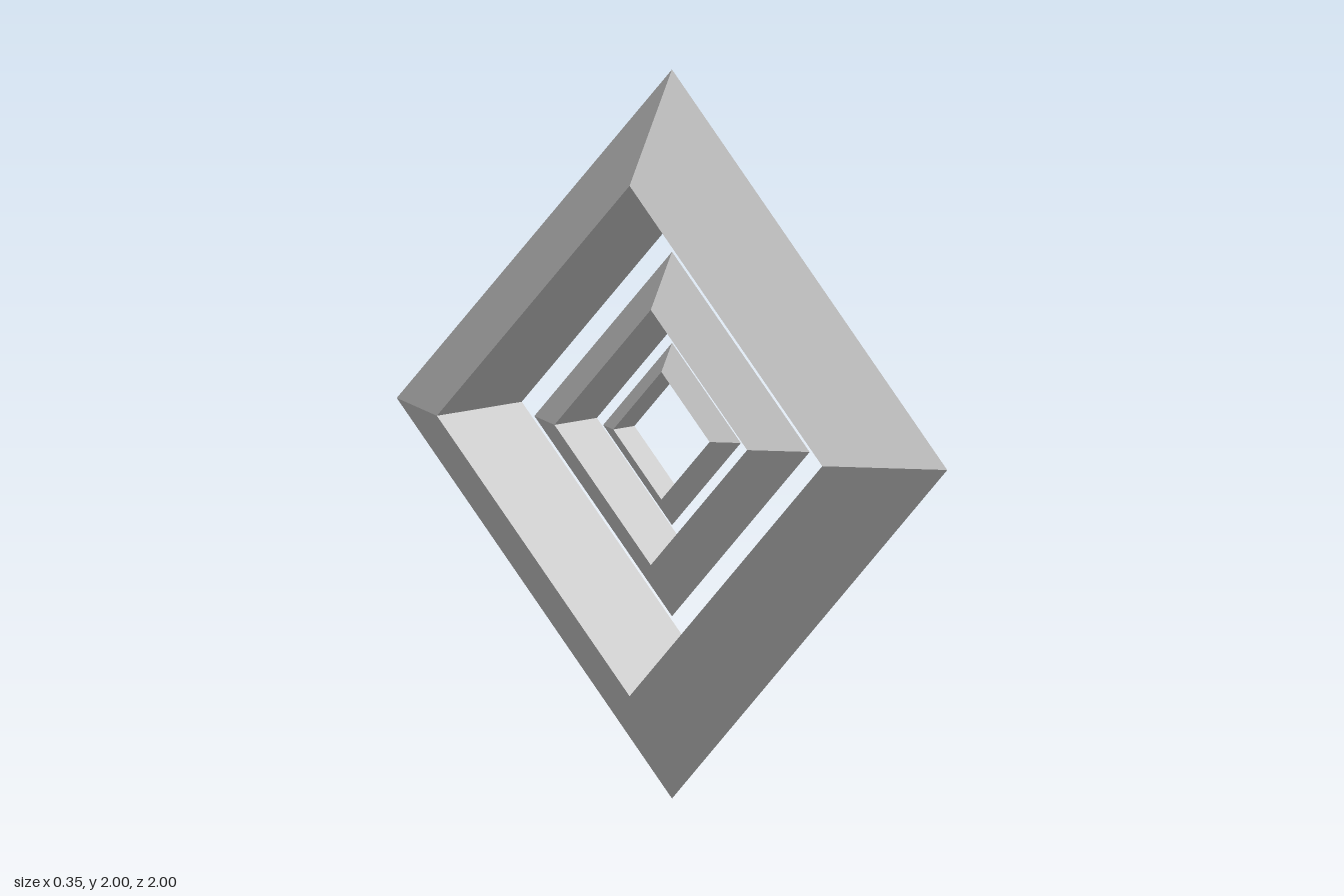
import * as THREE from 'three';

// Nested diamond rings, each a four-sided torus with a triangular section
export function createModel() {
  const model = new THREE.Group();
  const material = new THREE.MeshStandardMaterial({ color: 0xcccccc, flatShading: true });
  const names = ['outerRing', 'middleRing', 'innerRing'];

  names.forEach((name, i) => {
    const size = 0.5 ** i; // each ring is half the one around it
    const geometry = new THREE.TorusGeometry(0.8 * size, 0.2 * size, 3, 4);
    geometry.rotateY(Math.PI / 2); // ring axis along x
    const ring = new THREE.Mesh(geometry, material);
    ring.name = name;
    ring.position.y = 1;
    model.add(ring);
  });

  return model;
}
